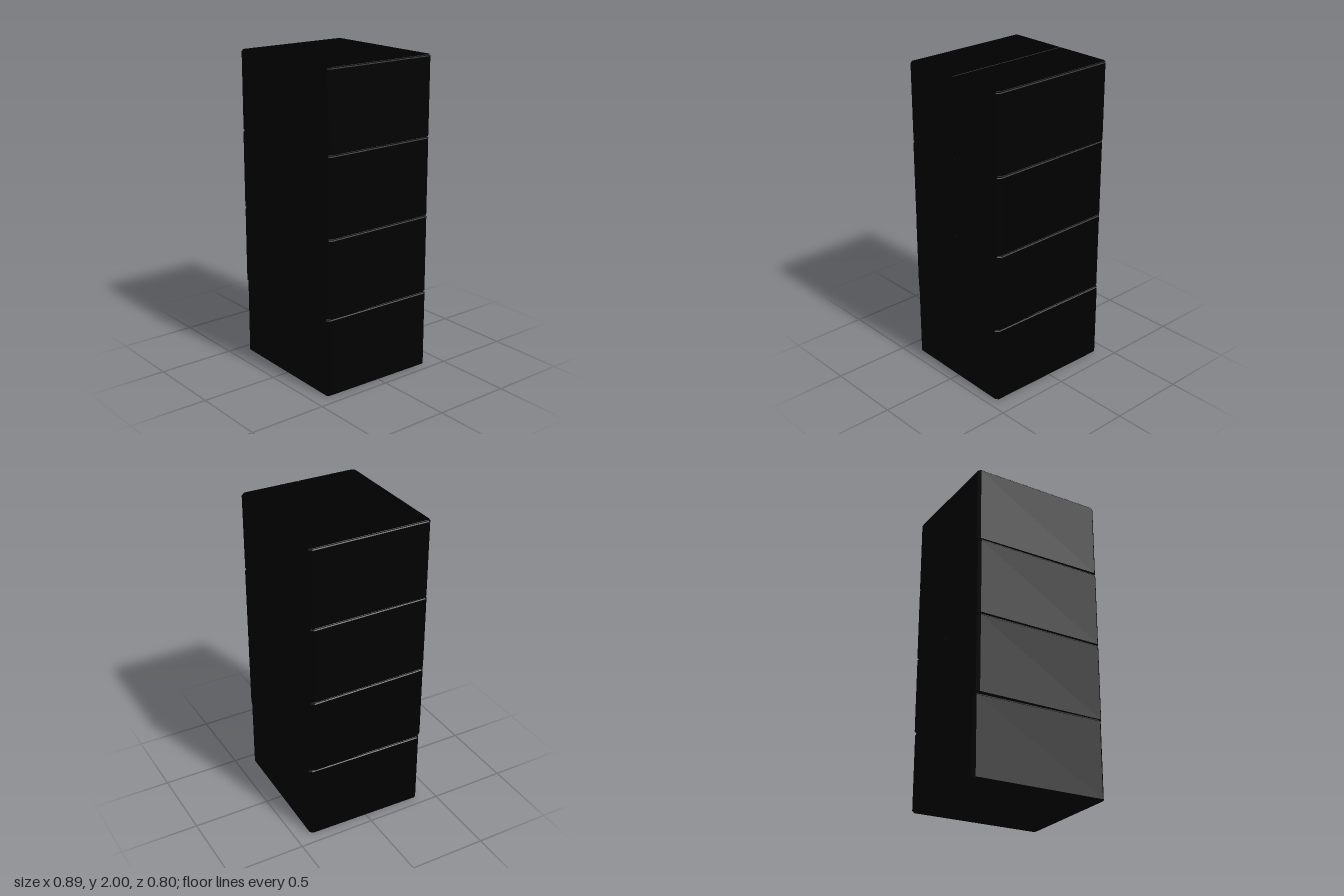
import * as THREE from 'three';

const W = 0.872, D = 0.784, H = 0.5;

// Chamfered slab standing on y = 0; the back edge may stay square for flaps.
function slab(w, d, h, chamfer, bevel, squareBack = false) {
  const x = w / 2 - bevel, z = d / 2 - bevel, c = chamfer, b = squareBack ? 0 : c;
  const shape = new THREE.Shape();
  shape.moveTo(-x + c, -z);
  shape.lineTo(x - c, -z);
  shape.lineTo(x, -z + c);
  shape.lineTo(x, z - b);
  if (b) shape.lineTo(x - b, z);
  shape.lineTo(-x + b, z);
  if (b) shape.lineTo(-x, z - b);
  shape.lineTo(-x, -z + c);
  const geo = new THREE.ExtrudeGeometry(shape, {
    depth: h - 2 * bevel, bevelEnabled: true, bevelSize: bevel,
    bevelThickness: bevel, bevelSegments: 1,
  });
  // Shape y becomes -z, extrusion becomes y.
  return geo.rotateX(-Math.PI / 2).translate(0, bevel, 0);
}

export function createModel() {
  const model = new THREE.Group();
  model.name = 'boxStack';
  const material = new THREE.MeshStandardMaterial({ color: 0x000000 });

  const gap = 0.005, inset = 0.005, seamZ = -0.008;
  const bodyGeo = slab(W, D, H - 0.004, 0.014, 0.007);

  // Closed carton: body and two lid flaps meeting at a seam.
  function carton(name) {
    const box = new THREE.Group();
    box.name = name;
    const body = new THREE.Mesh(bodyGeo, material);
    body.name = 'cartonBody';
    box.add(body);
    for (const side of [1, -1]) {
      const depth = D / 2 - inset - side * seamZ - gap / 2;
      const flap = new THREE.Mesh(slab(W - 2 * inset, depth, 0.02, 0.014, 0.002, true), material);
      flap.name = side > 0 ? 'frontFlap' : 'backFlap';
      flap.position.set(0, H - 0.02, side * (D / 2 - inset - depth / 2));
      flap.rotation.y = side > 0 ? 0 : Math.PI;
      box.add(flap);
    }
    return box;
  }

  // Slightly uneven stacking: [turn, x offset, z offset], bottom to top.
  const stack = [[-0.022, 0, 0], [0.01, 0, 0.003], [0.011, -0.001, 0.003], [0.002, -0.002, 0.002]];
  stack.forEach(([turn, x, z], i) => {
    const box = carton(`carton${i + 1}`);
    box.position.set(x, i * H, z);
    box.rotation.y = turn;
    model.add(box);
  });
  return model;
}
